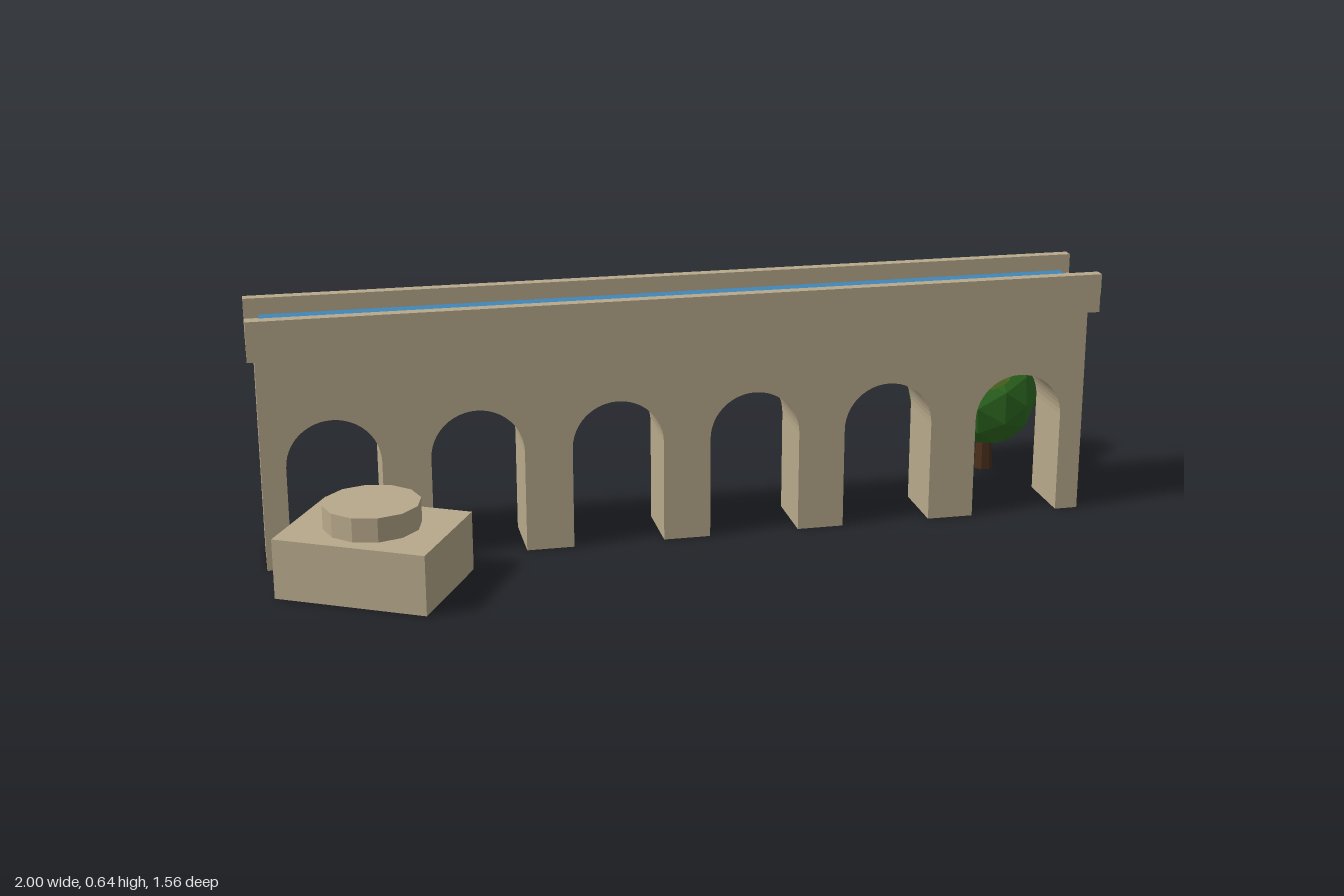
import * as THREE from 'three';

const mat = (name, color, flatShading = true) => {
  const m = new THREE.MeshStandardMaterial({ color, flatShading });
  m.name = name;
  return m;
};

export function createModel() {
  const stone = mat('stone', 0xb8a98b);
  const water = mat('water', 0x4186b8);
  const bark = mat('bark', 0x4a2e1c);
  const darkLeaf = mat('dark leaf', 0x2f6b22);
  const midLeaf = mat('mid leaf', 0x4f8a2e);
  const lightLeaf = mat('light leaf', 0x86b23e);

  const model = new THREE.Group();
  model.name = 'aqueduct';
  const add = (parent, name, geometry, material, x, y, z) => {
    const mesh = new THREE.Mesh(geometry, material);
    mesh.name = name;
    mesh.position.set(x, y, z);
    parent.add(mesh);
    return mesh;
  };

  // Diagonal bridge
  const bridge = new THREE.Group();
  bridge.name = 'bridge';
  bridge.position.set(0, 0, 0.0575);
  bridge.rotation.y = THREE.MathUtils.degToRad(28);
  model.add(bridge);

  // Arcade wall: one outline that runs under six round arches
  const length = 2.095, depth = 0.17, height = 0.54;
  const arches = 6, bay = length / arches, r = 0.115, spring = 0.26;
  const outline = new THREE.Shape();
  outline.moveTo(-length / 2, 0);
  for (let i = 0; i < arches; i++) {
    const c = -length / 2 + bay * (i + 0.5);
    outline.lineTo(c - r, 0);
    outline.lineTo(c - r, spring);
    outline.absarc(c, spring, r, Math.PI, 0, true);
    outline.lineTo(c + r, 0);
  }
  outline.lineTo(length / 2, 0);
  outline.lineTo(length / 2, height);
  outline.lineTo(-length / 2, height);
  outline.closePath();
  const wall = new THREE.ExtrudeGeometry(outline, { depth, bevelEnabled: false, curveSegments: 12 });
  add(bridge, 'arcadeWall', wall, stone, 0, 0, -depth / 2);

  // Open-ended water channel
  add(bridge, 'channelFloor', new THREE.BoxGeometry(2.13, 0.05, 0.238), stone, 0, 0.565, 0);
  for (const s of [-1, 1]) {
    add(bridge, 'channelRail', new THREE.BoxGeometry(2.13, 0.05, 0.028), stone, 0, 0.615, s * 0.108);
  }
  add(bridge, 'water', new THREE.BoxGeometry(2.06, 0.014, 0.147), water, 0, 0.597, 0);

  // Plinth with a round cap
  add(model, 'plinth', new THREE.BoxGeometry(0.386, 0.15, 0.3), stone, -0.598, 0.075, 0.627);
  add(model, 'plinthCap', new THREE.CylinderGeometry(0.118, 0.118, 0.06, 12), stone, -0.6, 0.18, 0.625);

  // Tree
  const tree = new THREE.Group();
  tree.name = 'tree';
  tree.position.set(0.68, 0, -0.612);
  model.add(tree);
  add(tree, 'trunk', new THREE.CylinderGeometry(0.018, 0.026, 0.16, 7), bark, 0, 0.08, 0);
  const blobs = [
    ['crown', 0.142, darkLeaf, 0, 0.21, 0],
    ['crownDark', 0.08, darkLeaf, 0.062, 0.272, -0.09],
    ['crownMid', 0.078, midLeaf, -0.135, 0.2, 0],
    ['crownLight', 0.08, lightLeaf, 0.012, 0.33, 0.095],
  ];
  for (const [name, radius, material, x, y, z] of blobs) {
    add(tree, name, new THREE.IcosahedronGeometry(radius, 1), material, x, y, z);
  }
  return model;
}
